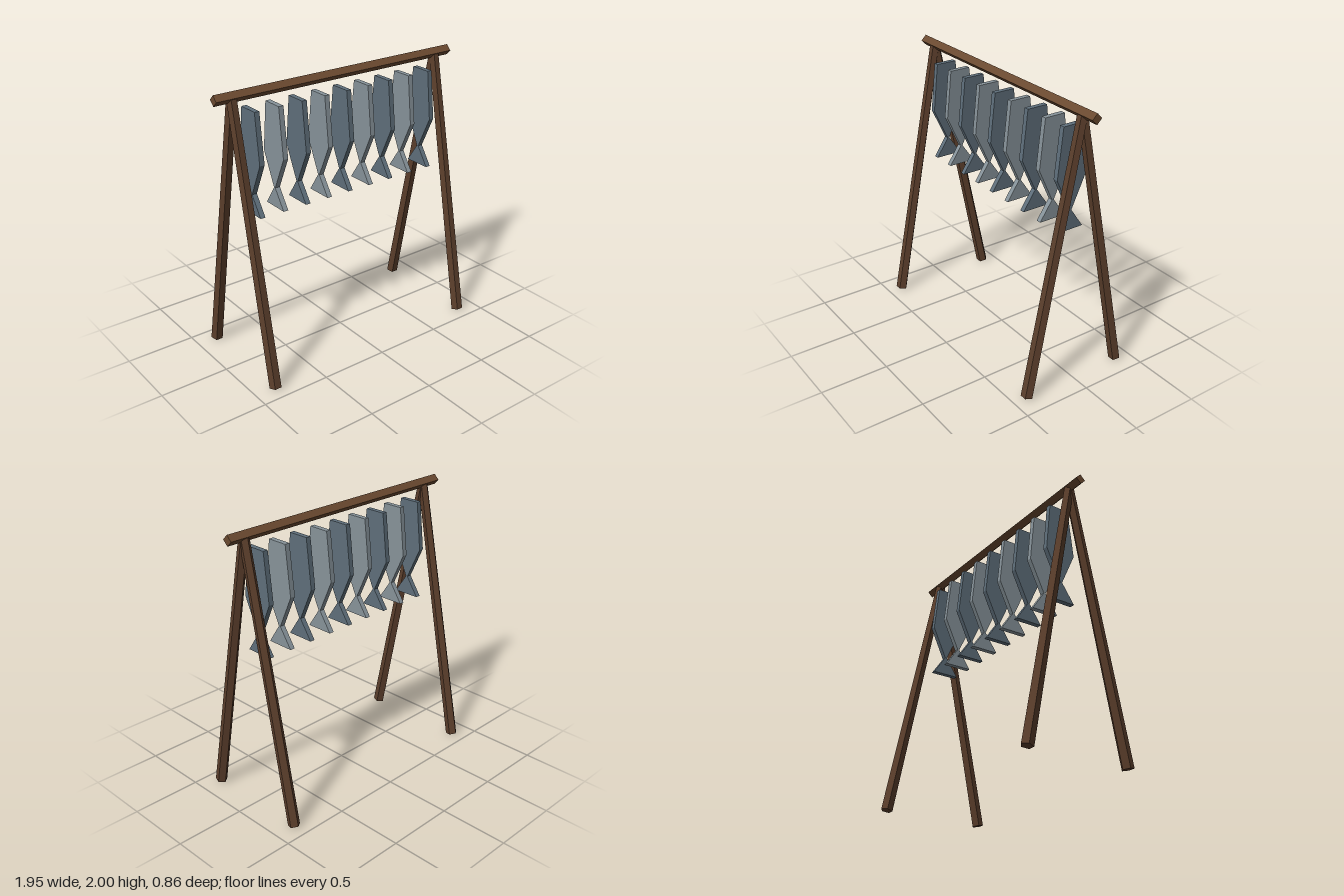
import * as THREE from 'three';

const material = (color) => new THREE.MeshStandardMaterial({ color, flatShading: true });

export function createModel() {
  const rack = new THREE.Group();
  rack.name = 'fishDryingRack';

  const add = (name, geometry, mat, x, y, z) => {
    const mesh = new THREE.Mesh(geometry, mat);
    mesh.name = name;
    mesh.position.set(x, y, z);
    rack.add(mesh);
    return mesh;
  };

  // Square cross pole, lying on its edge
  const pole = new THREE.CylinderGeometry(0.0375, 0.0375, 1.95, 4).rotateZ(Math.PI / 2);
  add('crossPole', pole, material(0x6b4a30), 0, 1.9625, 0);

  // Five-sided tapered legs, leaning together under the pole
  const footY = 0.009, topY = 1.96, spread = 0.39;
  const length = Math.hypot(topY - footY, spread);
  const lean = Math.atan2(spread, topY - footY);
  const legGeometry = new THREE.CylinderGeometry(0.035, 0.043, length, 5).rotateY(Math.PI);
  const legMaterial = material(0x5c3f2c);
  for (const [side, x] of [['right', -0.845], ['left', 0.845]]) {
    for (const [end, s] of [['Front', 1], ['Back', -1]]) {
      const leg = add(`${side}${end}Leg`, legGeometry, legMaterial, x, (topY + footY) / 2, s * spread / 2);
      leg.rotation.x = -s * lean;
    }
  }

  // Hanging fish: flat plate with a tapering body, narrow neck and tail fin
  const half = [[0.077, 1.86], [0.116, 1.507], [0.007, 1.27], [0.102, 1.13]];
  const outline = [...half, ...half.map(([z, y]) => [-z, y]).reverse()];
  const thickness = 0.037;
  const fishGeometry = new THREE.ExtrudeGeometry(
    new THREE.Shape(outline.map(([z, y]) => new THREE.Vector2(z, y))),
    { depth: thickness, bevelEnabled: false }
  ).translate(0, 0, -thickness / 2).rotateY(Math.PI / 2);
  const fishMaterials = [material(0x5f6f7b), material(0x87939a)];
  for (let i = 0; i < 9; i++) {
    add(`fish${i + 1}`, fishGeometry, fishMaterials[i % 2], -0.713 + i * 0.182, 0, 0);
  }

  return rack;
}
